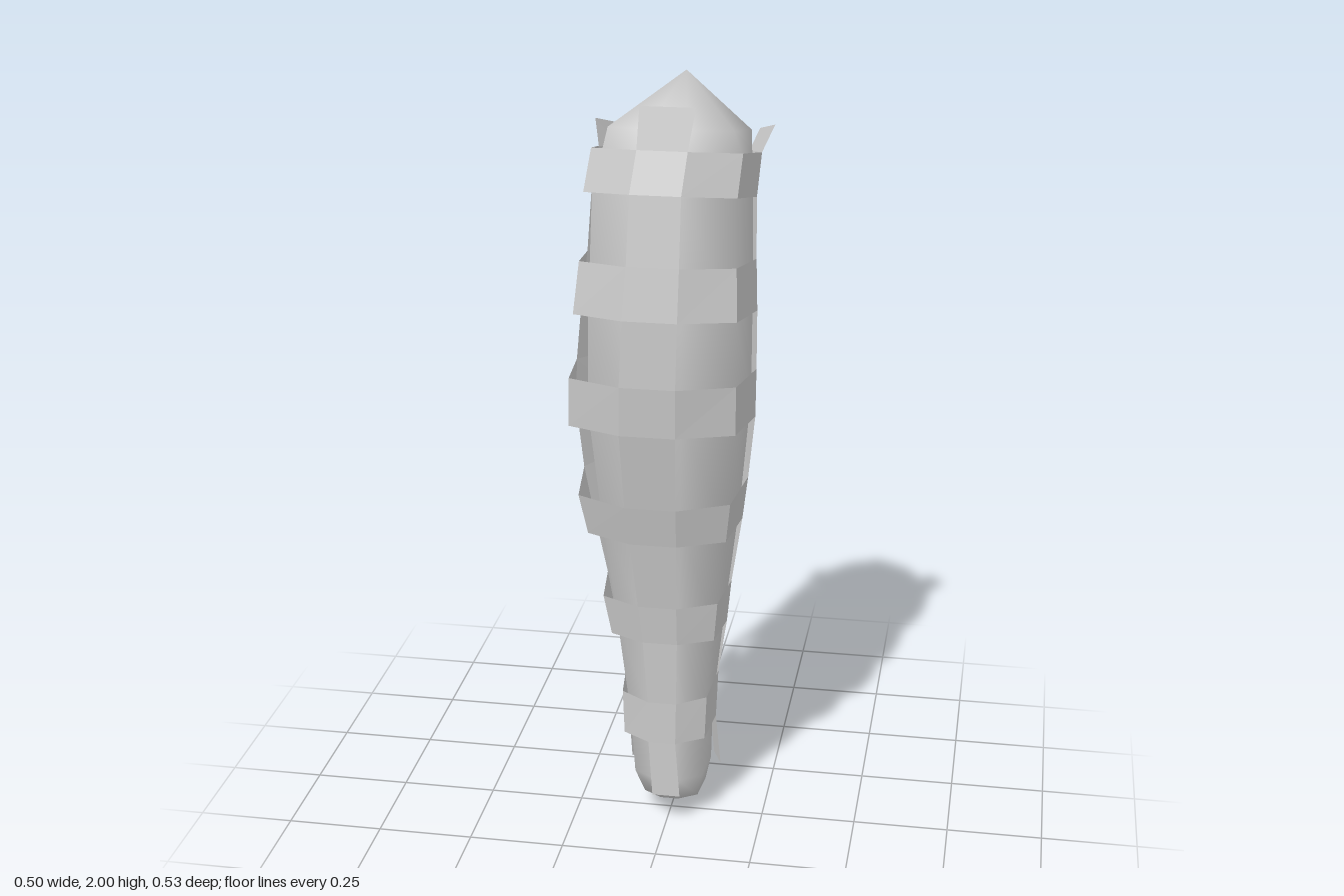
import * as THREE from 'three';
import { mergeGeometries } from 'three/addons/utils/BufferGeometryUtils.js';

// Unit cross-section, from the back round by +x to the front and back by -x
const OUTLINE = [[0, -1], [0.62, -0.72], [1, -0.1], [0.9, 0.72], [0.3, 1],
  [-0.3, 1], [-0.9, 0.72], [-1, -0.1], [-0.62, -0.72]];
const N = OUTLINE.length;

// Rows: y at front, y at back, x min, x max, z front, z back
const CORE = [
  [1.915, 1.83, -0.15, 0.188, 0.18, -0.255],
  [1.76, 1.68, -0.185, 0.198, 0.22, -0.23],
  [1.46, 1.44, -0.195, 0.203, 0.235, -0.205],
  [1.2, 1.2, -0.2, 0.203, 0.23, -0.195],
  [0.9, 0.9, -0.178, 0.175, 0.165, -0.188],
  [0.6, 0.6, -0.145, 0.138, 0.118, -0.178],
  [0.3, 0.3, -0.11, 0.105, 0.093, -0.175],
  [0.13, 0.13, -0.1, 0.1, 0.085, -0.18],
  [0.06, 0.06, -0.075, 0.085, 0.06, -0.16],
];
const SHELL = [
  [1.97, 1.81, -0.2, 0.245, 0.185, -0.265],
  [1.87, 1.77, -0.19, 0.215, 0.205, -0.262],
  [1.77, 1.66, -0.205, 0.207, 0.235, -0.245],
  [1.6, 1.52, -0.215, 0.21, 0.255, -0.24],
  [1.47, 1.39, -0.23, 0.215, 0.27, -0.235],
  [1.3, 1.25, -0.245, 0.215, 0.265, -0.235],
  [1.17, 1.12, -0.25, 0.213, 0.25, -0.235],
  [0.96, 0.98, -0.235, 0.195, 0.203, -0.225],
  [0.85, 0.85, -0.215, 0.18, 0.175, -0.22],
  [0.66, 0.67, -0.18, 0.152, 0.137, -0.21],
  [0.55, 0.54, -0.16, 0.14, 0.12, -0.205],
  [0.37, 0.41, -0.132, 0.118, 0.107, -0.2],
  [0.25, 0.26, -0.128, 0.112, 0.103, -0.2],
  [0.09, 0.12, -0.12, 0.125, 0.1, -0.21],
];

const lerp = THREE.MathUtils.lerp;

// Point on a surface: u counts outline corners, v counts rows
function pointOn(rows, u, v) {
  const w = ((u % N) + N) % N, i = Math.floor(w);
  const a = OUTLINE[i], b = OUTLINE[(i + 1) % N];
  const px = lerp(a[0], b[0], w - i), pz = lerp(a[1], b[1], w - i);
  const j = Math.min(Math.floor(v), rows.length - 2);
  const r = rows[j].map((n, k) => lerp(n, rows[j + 1][k], v - j));
  return [lerp(r[2], r[3], (px + 1) / 2), lerp(r[1], r[0], (pz + 1) / 2), lerp(r[5], r[4], (pz + 1) / 2)];
}

// Flat patch from four [u, v] corners on the strap shell
function patch(a, b, c, d) {
  const [p, q, r, s] = [a, b, c, d].map(([u, v]) => pointOn(SHELL, u, v));
  const g = new THREE.BufferGeometry();
  g.setAttribute('position', new THREE.Float32BufferAttribute([p, q, r, p, r, s].flat(), 3));
  g.computeVertexNormals();
  return g;
}

// Breaks a range at every whole number
function steps(a, b) {
  const out = [a];
  for (let n = Math.floor(a) + 1; n < b; n++) out.push(n);
  return [...out, b];
}

// Band over a u, v range, folded at the outline corners and rows
function band(u0, u1, v0, v1) {
  const us = steps(u0, u1), vs = steps(v0, v1), parts = [];
  for (let i = 0; i + 1 < us.length; i++) {
    for (let j = 0; j + 1 < vs.length; j++) {
      parts.push(patch([us[i], vs[j]], [us[i + 1], vs[j]], [us[i + 1], vs[j + 1]], [us[i], vs[j + 1]]));
    }
  }
  return parts;
}

function makeCore() {
  const pos = [], index = [], last = CORE.length - 1;
  for (let j = 0; j <= last; j++) {
    for (let i = 0; i < N; i++) pos.push(...pointOn(CORE, i, j));
  }
  const top = pos.length / 3, bottom = top + 1;
  pos.push(0.02, 2, -0.105, 0.01, 0, -0.055);
  for (let i = 0; i < N; i++) {
    const k = (i + 1) % N;
    index.push(top, k, i, last * N + i, last * N + k, bottom);
    for (let j = 0; j < last; j++) {
      const a = j * N + i, b = j * N + k;
      index.push(a, b, a + N, b, b + N, a + N);
    }
  }
  const g = new THREE.BufferGeometry();
  g.setAttribute('position', new THREE.Float32BufferAttribute(pos, 3));
  g.setIndex(index);
  g.computeVertexNormals();
  return g;
}

export function createModel() {
  const group = new THREE.Group();
  const coreMat = new THREE.MeshStandardMaterial({ color: 0xcccccc });
  const strapMat = new THREE.MeshStandardMaterial({ color: 0xcccccc, flatShading: true, side: THREE.DoubleSide });
  const add = (name, geometry, material) => {
    const mesh = new THREE.Mesh(geometry, material);
    mesh.name = name;
    group.add(mesh);
  };

  // Tapered limb with pointed ends
  add('limbCore', makeCore(), coreMat);

  // Upright strips, with free tabs at both ends
  const bottomRow = SHELL.length - 1;
  add('frontStrip', mergeGeometries(band(4, 5, 0, bottomRow)), strapMat);
  add('leftStrip', mergeGeometries(band(1.45, 2, 0, bottomRow)), strapMat);
  add('rightStrip', mergeGeometries(band(7, 7.55, 0, bottomRow)), strapMat);

  // Six straps wrapping the front and sides, open at the back
  const straps = [];
  for (let v = 1; v < bottomRow - 1; v += 2) straps.push(...band(0.7, N - 0.7, v, v + 1));
  add('wrapStraps', mergeGeometries(straps), strapMat);

  // Crossed lacing joining the strap ends down the back
  const laces = [];
  for (const s of [1, -1]) {
    const outer = 0.7 * s, inner = 0.48 * s;
    laces.push(patch([outer, 1], [outer, 1.5], [0, 1.6], [0, 1.35]));
    for (let v = 1; v < bottomRow - 1; v += 2) {
      const mid = v + 1.5;
      laces.push(patch([outer, v], [inner, v + 0.2], [inner, v + 0.8], [outer, v + 1]));
      laces.push(patch([outer, v + 1], [inner, v + 0.8], [0, mid - 0.17], [0, mid + 0.17]));
      if (v + 2 < bottomRow - 1) {
        laces.push(patch([outer, v + 2], [inner, v + 2.2], [0, mid + 0.17], [0, mid - 0.17]));
      }
    }
  }
  add('backLacing', mergeGeometries(laces), strapMat);
  return group;
}
